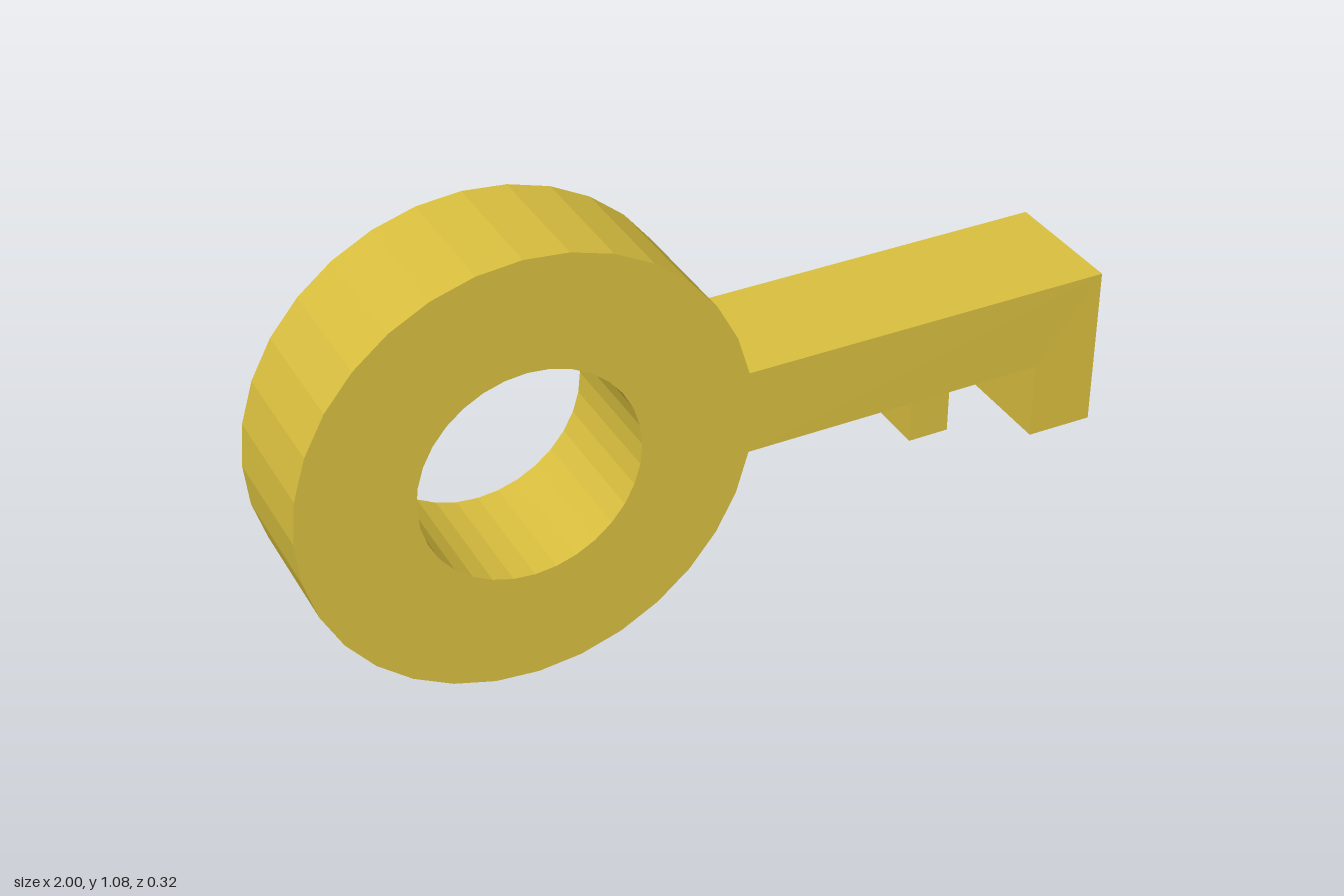
import * as THREE from 'three';

const CX = -0.46, CY = 0.54;          // centre of the bow
const OUTER = 0.54, INNER = 0.265, SIDES = 32;
const HALF = 0.16;                    // half thickness

const ringPoint = (r, k) => {
  const a = (k / SIDES) * Math.PI * 2;
  return new THREE.Vector2(CX + r * Math.cos(a), CY + r * Math.sin(a));
};

export function createModel() {
  const group = new THREE.Group();
  group.name = 'key';

  // Bow outline, left open where the shank joins it
  const outline = [];
  for (let k = 1; k < SIDES; k++) outline.push(ringPoint(OUTER, k));
  const top = outline[0].y, bottom = outline[outline.length - 1].y;

  // Shank with a small and a large tooth underneath
  const shank = [
    [0.495, bottom], [0.495, 0.33], [0.597, 0.33], [0.597, bottom],
    [0.835, bottom], [0.835, 0.24], [1, 0.24], [1, top],
  ];
  shank.forEach(([x, y]) => outline.push(new THREE.Vector2(x, y)));

  // Round hole through the bow
  const shape = new THREE.Shape(outline);
  const hole = [];
  for (let k = 0; k < SIDES; k++) hole.push(ringPoint(INNER, -k));
  shape.holes.push(new THREE.Path(hole));

  const geometry = new THREE.ExtrudeGeometry(shape, { depth: HALF * 2, bevelEnabled: false });
  geometry.translate(0, 0, -HALF);

  // The tip is very slightly thicker than the rest
  const pos = geometry.attributes.position;
  for (let i = 0; i < pos.count; i++) {
    if (pos.getX(i) > 0.99) pos.setZ(i, pos.getZ(i) * 1.012);
  }
  geometry.computeVertexNormals();

  const material = new THREE.MeshStandardMaterial({ color: 0xd9bf3f, flatShading: true });
  const body = new THREE.Mesh(geometry, material);
  body.name = 'keyBody';
  group.add(body);
  return group;
}
